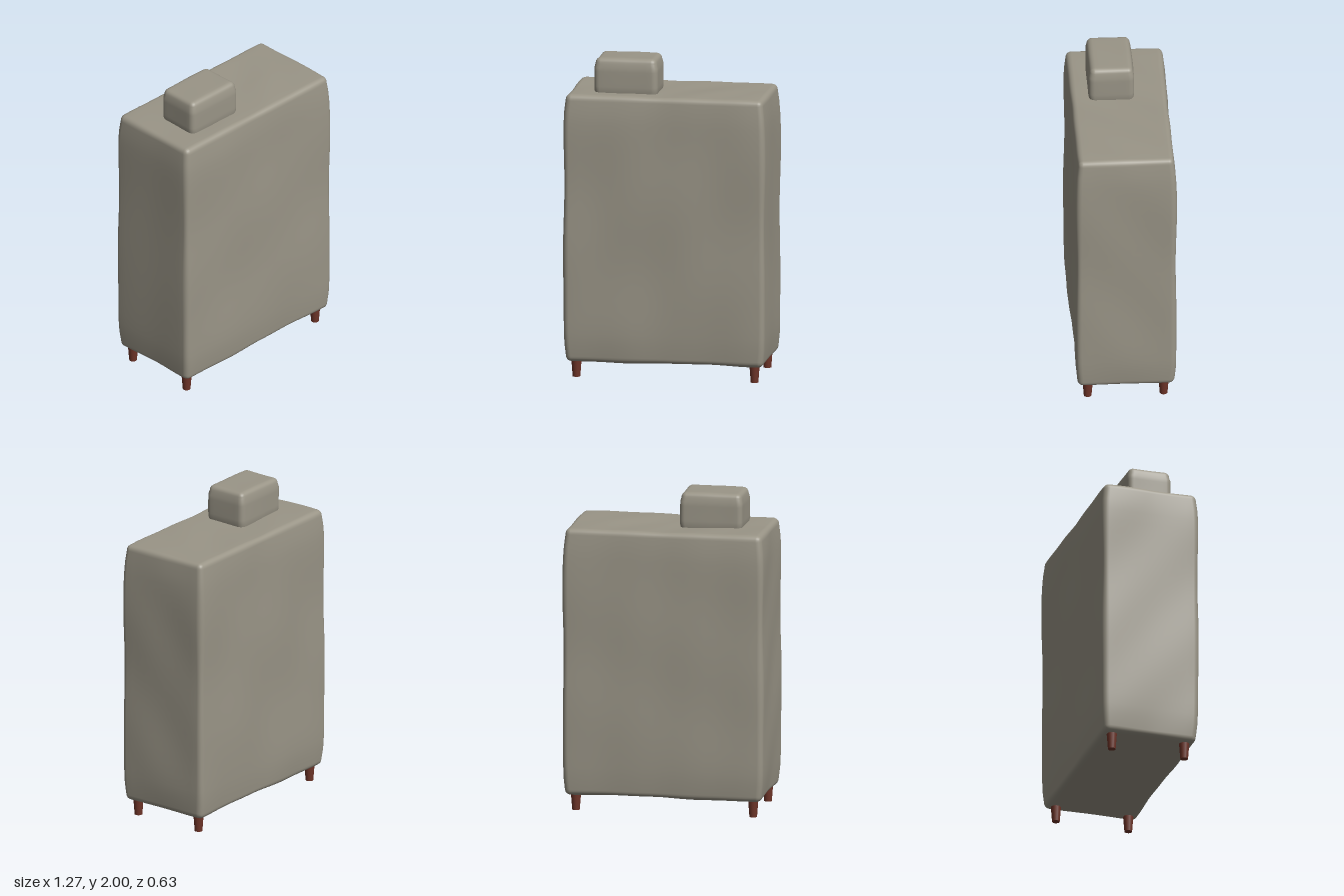
import * as THREE from 'three';
import { mergeVertices } from 'three/addons/utils/BufferGeometryUtils.js';

// Box with softly rounded edges and a gentle, uneven padded surface
function softBox(size, segs, radius, wobble, taper) {
  const half = size.map((s) => s / 2);
  const geo = new THREE.BoxGeometry(2, 2, 2, ...segs);
  const pos = geo.attributes.position;
  const p = new THREE.Vector3(), inner = new THREE.Vector3(), d = new THREE.Vector3();
  const curve = 3; // rows of vertices spent on each rounded edge
  for (let i = 0; i < pos.count; i++) {
    p.fromBufferAttribute(pos, i);
    [0, 1, 2].forEach((a) => {
      const flat = half[a] - radius;
      const v = p.getComponent(a);
      const k = Math.abs(v) * segs[a] / 2;      // row counted from the middle
      const rows = segs[a] / 2 - curve;         // rows on the flat part
      const c = k <= rows ? flat * k / rows : flat + radius * (k - rows) / curve;
      p.setComponent(a, Math.sign(v) * c);
      inner.setComponent(a, Math.sign(v) * Math.min(c, flat));
    });
    d.subVectors(p, inner).normalize();
    // slow ripples along the outward direction
    const { x, y, z } = inner;
    const ripple = Math.sin(7 * x + 5 * y + 1) + 0.7 * Math.sin(11 * z - 9 * y + 4 * x)
      + 0.5 * Math.sin(17 * x + 13 * z + 2);
    p.copy(inner).addScaledVector(d, radius + wobble * ripple);
    // draw in slightly at the top and bottom
    const pinch = taper * Math.pow(Math.abs(y) / (half[1] - radius), 10);
    p.x -= Math.sign(x) * pinch;
    p.z -= Math.sign(z) * pinch;
    pos.setXYZ(i, p.x, p.y, p.z);
  }
  geo.deleteAttribute('uv');
  geo.deleteAttribute('normal');
  const merged = mergeVertices(geo, 1e-5);
  merged.computeVertexNormals();
  return merged;
}

export function createModel() {
  const group = new THREE.Group();
  const fabric = new THREE.MeshStandardMaterial({ color: 0x9a9587 });
  const wood = new THREE.MeshStandardMaterial({ color: 0x6f3529 });

  const add = (name, geo, mat, x, y, z) => {
    const mesh = new THREE.Mesh(geo, mat);
    mesh.name = name;
    mesh.position.set(x, y, z);
    group.add(mesh);
  };

  // Tall padded body
  add('body', softBox([1.26, 1.68, 0.62], [24, 28, 18], 0.035, 0.003, 0.012), fabric, 0, 0.942, 0);

  // Small block resting on top, off to one side
  add('topBlock', softBox([0.395, 0.26, 0.28], [16, 14, 14], 0.035, 0.002, 0.006), fabric, -0.261, 1.867, 0.047);

  // Four tapered feet
  const foot = new THREE.CylinderGeometry(0.034, 0.024, 0.13, 16);
  for (const x of [-1, 1]) {
    for (const z of [-1, 1]) {
      add(`${z > 0 ? 'front' : 'back'}${x > 0 ? 'Left' : 'Right'}Foot`, foot, wood, x * 0.558, 0.065, z * 0.235);
    }
  }
  return group;
}
